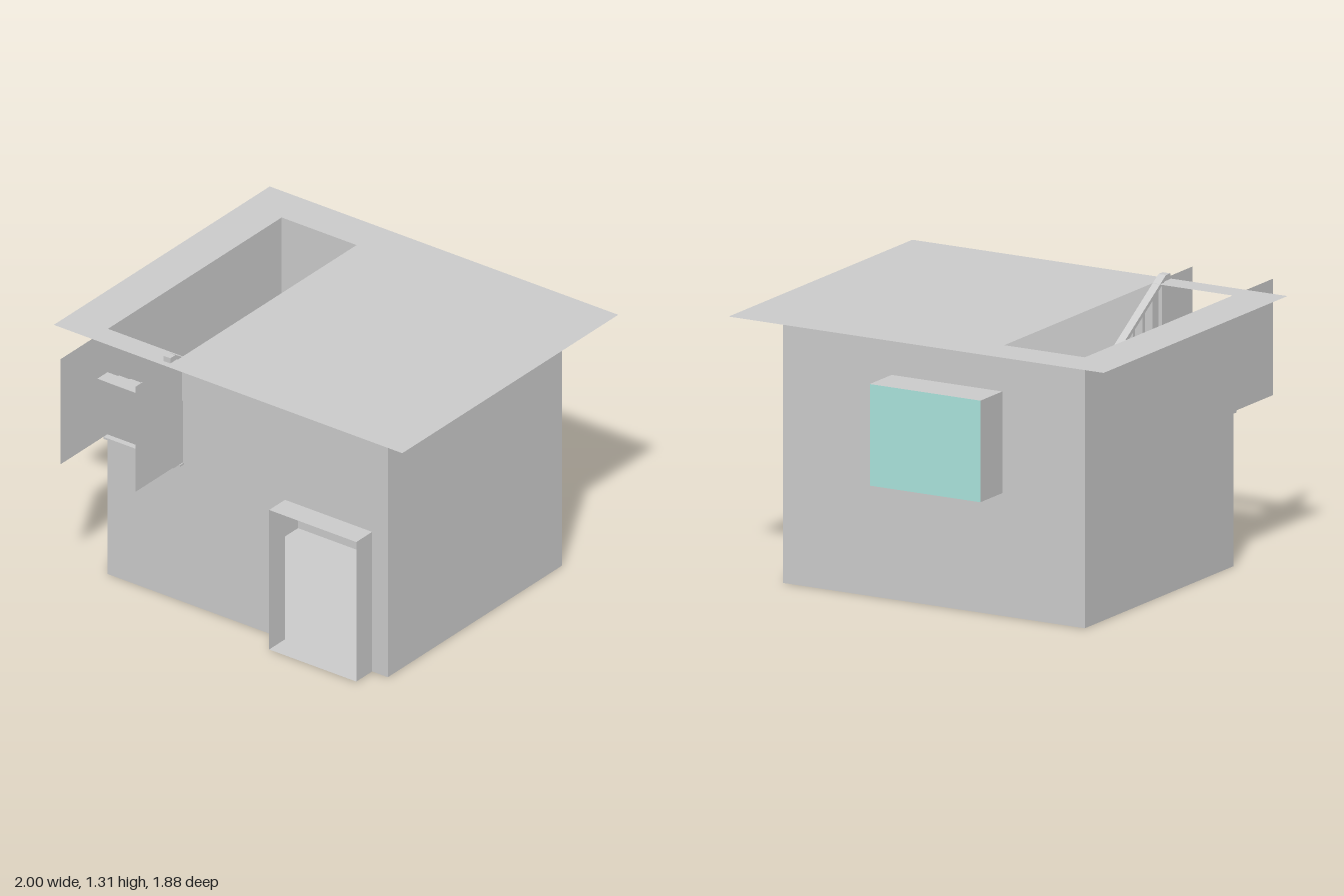
import * as THREE from 'three';

const W = -0.78, E = 0.83, N = -0.74, S = 0.58, H = 1.28; // room limits
const SX = -0.35;                                          // inner side of the stairwell
const RISE = 0.0555, RUN = 0.0868, LAND = RISE * 8;

const grey = new THREE.MeshStandardMaterial({ color: 0xcccccc, side: THREE.DoubleSide, flatShading: true });
const glass = new THREE.MeshStandardMaterial({ color: 0xaae4dc, side: THREE.DoubleSide, flatShading: true });

export function createModel() {
  const model = new THREE.Group();

  const add = (name, geo, mat = grey) => {
    const m = new THREE.Mesh(geo, mat);
    m.name = name;
    model.add(m);
    return m;
  };
  const rect = (x0, y0, x1, y1) =>
    [[x0, y0], [x1, y0], [x1, y1], [x0, y1]].map(p => new THREE.Vector2(...p));

  // Flat sheet from outline points with holes, in a plane at the given offset
  const sheet = (name, axis, at, points, holes = [], mat = grey) => {
    const shape = new THREE.Shape(points);
    holes.forEach(h => shape.holes.push(new THREE.Path(h)));
    const geo = new THREE.ShapeGeometry(shape);
    if (axis === 'x') geo.rotateY(-Math.PI / 2).translate(at, 0, 0);     // points are (z, y)
    else if (axis === 'y') geo.rotateX(Math.PI / 2).translate(0, at, 0); // points are (x, z)
    else geo.translate(0, 0, at);                                        // points are (x, y)
    return add(name, geo, mat);
  };
  const box = (name, x0, x1, y0, y1, z0, z1) =>
    add(name, new THREE.BoxGeometry(x1 - x0, y1 - y0, z1 - z0)
      .translate((x0 + x1) / 2, (y0 + y1) / 2, (z0 + z1) / 2));

  // Room shell
  const door = rect(0.24, 0, 0.74, 0.73);
  const win = rect(-0.34, 0.58, 0.25, 1.06);
  sheet('floor', 'y', 0, rect(W, N, E, S));
  sheet('leftWall', 'x', E, rect(N, 0, S, H));
  sheet('rightWall', 'x', W, rect(N, 0, S, H));
  sheet('backWall', 'z', N, rect(W, 0, E, H), [win]);
  sheet('frontWall', 'z', S, [
    [W, 0], [0.24, 0], [0.24, 0.73], [0.74, 0.73], [0.74, 0], [E, 0], [E, H], [SX, H], [SX, 0.73], [W, 0.73],
  ].map(p => new THREE.Vector2(...p)));
  sheet('ceiling', 'y', H, rect(-1, -0.94, 1, 0.695), [rect(W, N, SX, 0.575)]);

  // Door surround
  for (const x of [0.24, 0.74]) sheet('doorJamb', 'x', x, rect(S, 0, 0.7, 0.73));
  sheet('doorLintel', 'y', 0.73, rect(0.24, S, 0.74, 0.7));
  sheet('doorSill', 'y', 0, rect(0.24, S, 0.74, 0.7));

  // Projecting window
  for (const x of [-0.34, 0.25]) sheet('windowSide', 'x', x, rect(-0.935, 0.58, N, 1.06));
  for (const y of [0.58, 1.06]) sheet('windowBoard', 'y', y, rect(-0.34, -0.935, 0.25, N));
  sheet('windowGlass', 'z', -0.935, win, [], glass);

  // Upper stairwell walls in front of the opening
  for (const x of [W, SX]) sheet('stairwellWall', 'x', x, rect(S, 0.73, 0.935, H));

  // Lower flight along the back wall, up to the landing
  const lowX = i => 0.265 - RUN * i;
  const lowSide = [new THREE.Vector2(lowX(0), 0)];
  for (let i = 0; i < 7; i++) {
    const y = RISE * (i + 1), x1 = i === 6 ? SX : lowX(i + 1);
    sheet('lowerRiser', 'x', lowX(i), rect(N, y - RISE, -0.29, y));
    sheet('lowerTread', 'y', y, rect(x1, N, lowX(i), -0.29));
    lowSide.push(new THREE.Vector2(lowX(i), y), new THREE.Vector2(x1, y));
  }
  lowSide.push(new THREE.Vector2(SX, 0));
  sheet('lowerStringer', 'z', -0.29, lowSide);
  sheet('landingRiser', 'x', SX, rect(N, LAND - RISE, -0.29, LAND));
  sheet('landing', 'y', LAND, rect(W, N, SX, -0.29));

  // Upper flight, rising to the front
  const upZ = k => -0.29 + RUN * k;
  const upSide = [new THREE.Vector2(-0.29, 0)];
  for (let k = 0; k < 11; k++) {
    const y = LAND + RISE * (k + 1), z1 = k === 10 ? 0.655 : upZ(k + 1);
    sheet('upperRiser', 'z', upZ(k), rect(W, y - RISE, SX, y));
    sheet('upperTread', 'y', y, rect(W, upZ(k), SX, z1));
    upSide.push(new THREE.Vector2(upZ(k), y), new THREE.Vector2(z1, y));
  }
  upSide.push(new THREE.Vector2(0.655, 0.73), new THREE.Vector2(S, 0.73), new THREE.Vector2(S, 0));
  sheet('upperStringer', 'x', SX + 0.005, upSide);
  box('openingLedge', W, SX + 0.01, 0.72, 0.73, S, 0.61);

  // Handrails: extruded side profiles
  const slope = RISE / RUN;
  const railY = z => 1.285 + (z - 0.62) * slope; // underside of the upper rail
  const upRail = [[-0.355, railY(-0.355)], [0.62, 1.285], [0.67, 1.285], [0.67, 1.312], [0.632, 1.312], [-0.355, railY(-0.355) + 0.03]];
  const extrude = pts => new THREE.ExtrudeGeometry(
    new THREE.Shape(pts.map(p => new THREE.Vector2(...p))), { depth: 0.04, bevelEnabled: false });
  add('upperHandrail', extrude(upRail).rotateY(-Math.PI / 2).translate(SX, 0, 0));
  const lowRailY = x => 0.275 + (0.24 - x) * slope;
  add('lowerHandrail', extrude([
    [-0.39, lowRailY(-0.36)], [-0.36, lowRailY(-0.36)], [0.22, lowRailY(0.22)], [0.25, lowRailY(0.22)],
    [0.25, lowRailY(0.22) + 0.025], [-0.36, lowRailY(-0.36) + 0.03], [-0.39, lowRailY(-0.36) + 0.03],
  ]).translate(0, 0, -0.355));

  // Balusters, one on each tread
  for (let k = 0; k < 11; k++) {
    const z = upZ(k) + RUN / 2, y = LAND + RISE * (k + 1);
    box('upperBaluster', -0.382, -0.362, y - 0.018, Math.min(railY(z), 1.285) + 0.01, z - 0.01, z + 0.01);
  }
  for (let i = 0; i < 7; i++) {
    const x = lowX(i) - RUN / 2, y = RISE * (i + 1);
    box('lowerBaluster', x - 0.01, x + 0.01, y - 0.018, lowRailY(x) + 0.01, -0.345, -0.325);
  }
  return model;
}
